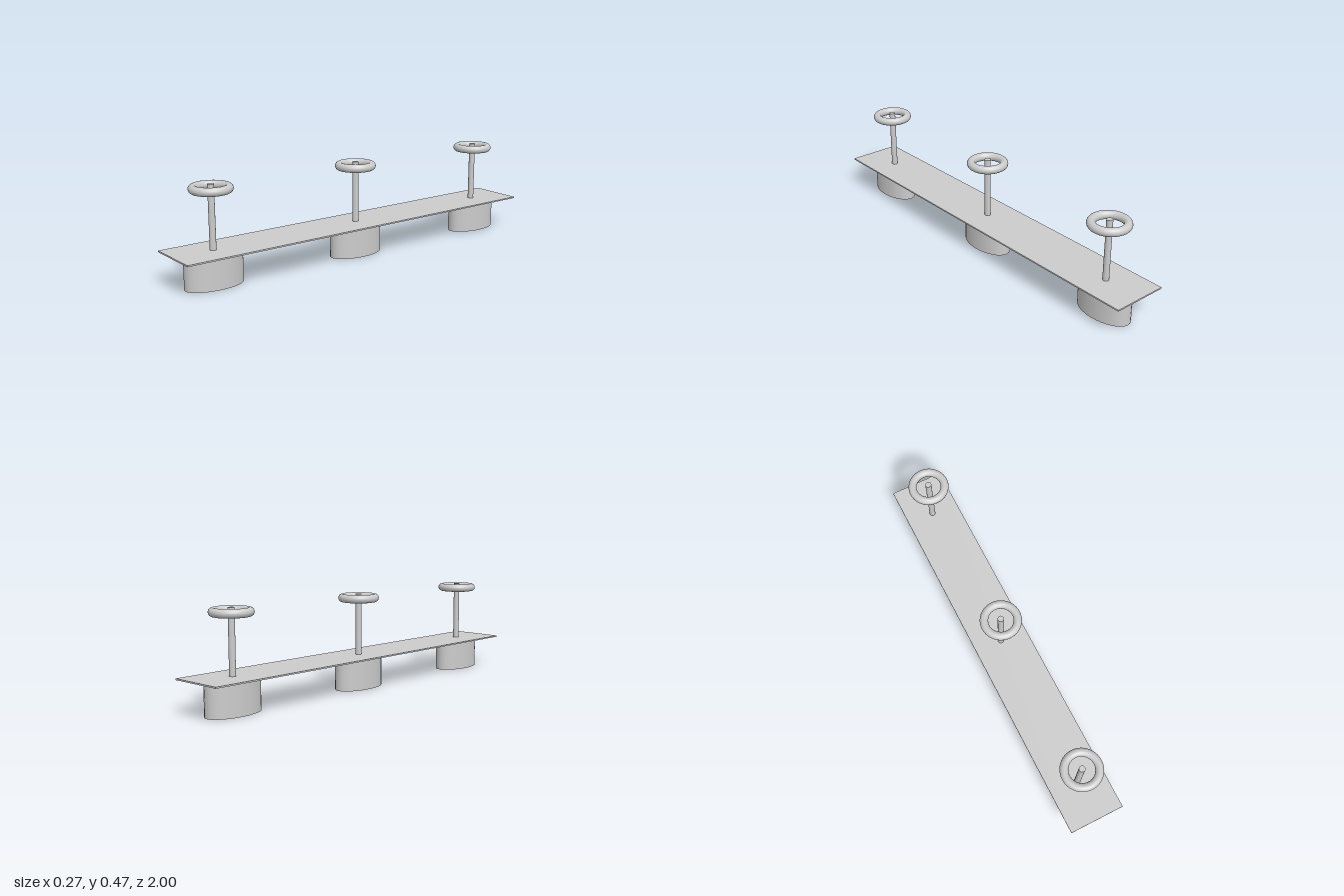
import * as THREE from 'three';

export function createModel() {
  const group = new THREE.Group();
  group.name = 'handleBoard';
  const material = new THREE.MeshStandardMaterial({ color: 0xcccccc });

  const add = (parent, name, geometry, y) => {
    const mesh = new THREE.Mesh(geometry, material);
    mesh.name = name;
    mesh.position.y = y;
    parent.add(mesh);
  };

  // Long thin board
  const boardTop = 0.165, boardBottom = 0.158;
  add(group, 'board', new THREE.BoxGeometry(0.274, boardTop - boardBottom, 2), (boardTop + boardBottom) / 2);

  // Oval foot, upright post and ring, shared by the three stations
  const footGeometry = new THREE.CylinderGeometry(0.08, 0.08, boardBottom, 32).scale(1, 1, 1.82);
  const postTop = 0.465;
  const postGeometry = new THREE.CylinderGeometry(0.015, 0.015, postTop - boardTop, 24);
  const ringGeometry = new THREE.TorusGeometry(0.08, 0.02, 16, 48).rotateX(-Math.PI / 2);

  for (const z of [-0.8, 0, 0.8]) {
    const station = new THREE.Group();
    station.name = 'station';
    station.position.z = z;
    add(station, 'foot', footGeometry, boardBottom / 2);
    add(station, 'post', postGeometry, (postTop + boardTop) / 2);
    add(station, 'ring', ringGeometry, 0.445);
    group.add(station);
  }
  return group;
}
